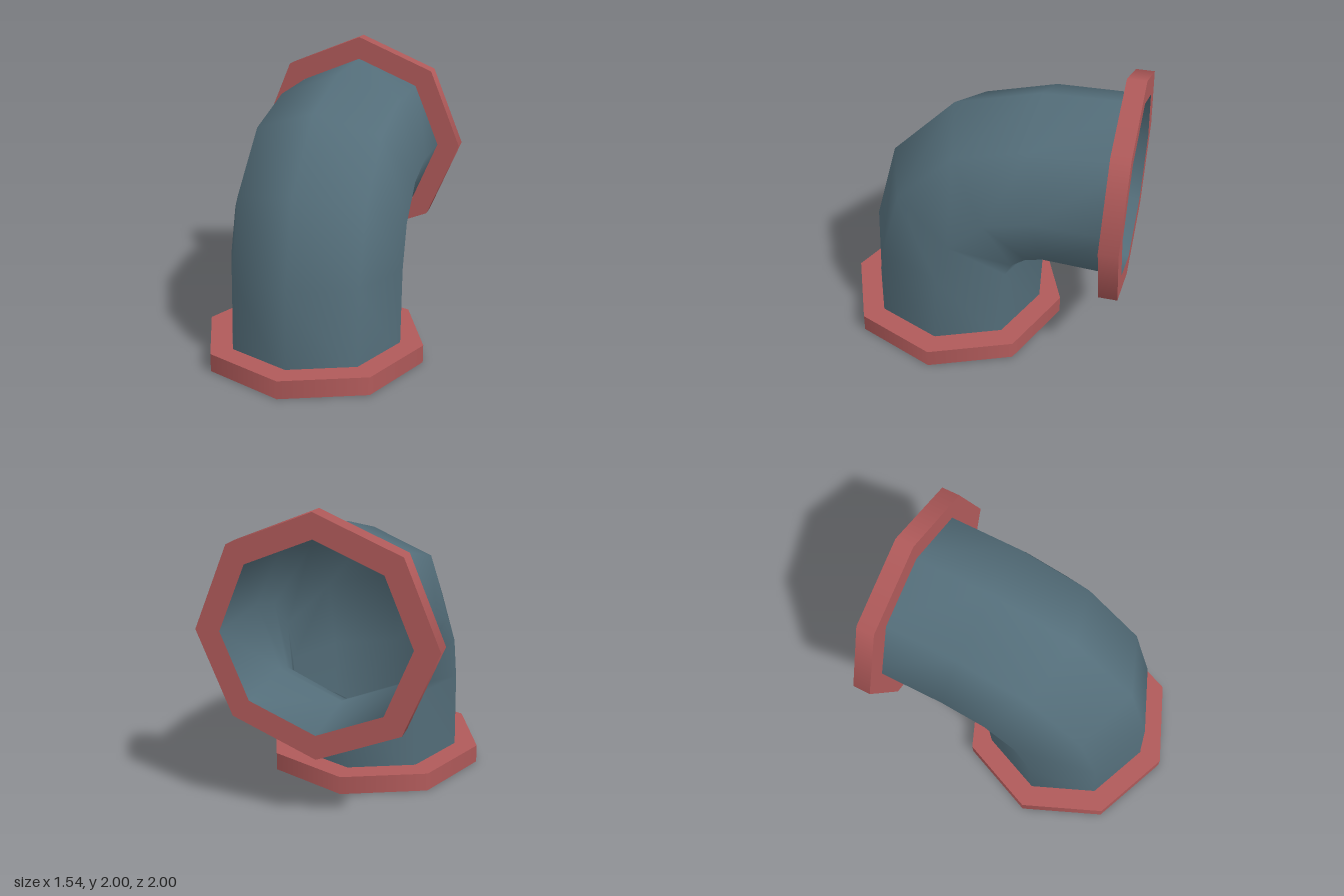
import * as THREE from 'three';
import { mergeGeometries } from 'three/addons/utils/BufferGeometryUtils.js';

const SIDES = 8;
const PIPE_R = 0.61;
const FLANGE_R = 0.77;
const FLANGE_H = 0.125;

// Octagonal tube through rings given by their outer and inner bend points [z, y]
function pipeGeometry(rings) {
  const positions = [];
  const index = [];
  for (const [[oz, oy], [iz, iy]] of rings) {
    const cz = (oz + iz) / 2;
    const cy = (oy + iy) / 2;
    for (let i = 0; i < SIDES; i++) {
      const a = (i / SIDES) * Math.PI * 2;
      const c = Math.cos(a);
      positions.push(PIPE_R * Math.sin(a), cy + (oy - cy) * c, cz + (oz - cz) * c);
    }
  }
  for (let j = 0; j < rings.length - 1; j++) {
    for (let i = 0; i < SIDES; i++) {
      const n = (i + 1) % SIDES;
      const a = j * SIDES + i;
      const b = j * SIDES + n;
      index.push(a, b, a + SIDES, b, b + SIDES, a + SIDES);
    }
  }
  const geometry = new THREE.BufferGeometry();
  geometry.setAttribute('position', new THREE.Float32BufferAttribute(positions, 3));
  geometry.setIndex(index);
  geometry.computeVertexNormals();
  return geometry;
}

// Flat octagonal collar standing on y = 0, open in the middle
function flangeGeometry() {
  const rim = new THREE.CylinderGeometry(FLANGE_R, FLANGE_R, FLANGE_H, SIDES, 1, true);
  rim.translate(0, FLANGE_H / 2, 0);
  const top = new THREE.RingGeometry(PIPE_R, FLANGE_R, SIDES);
  top.rotateX(-Math.PI / 2).translate(0, FLANGE_H, 0);
  const bottom = new THREE.RingGeometry(PIPE_R, FLANGE_R, SIDES);
  bottom.rotateX(Math.PI / 2);
  return mergeGeometries([rim, top, bottom]);
}

export function createModel() {
  const model = new THREE.Group();
  model.name = 'pipeElbow';

  const steel = new THREE.MeshStandardMaterial({ color: 0x546e7a, side: THREE.DoubleSide });
  steel.name = 'blueGreyPipe';
  const red = new THREE.MeshStandardMaterial({ color: 0xb05a5a });
  red.name = 'redFlange';

  // Bent pipe, open at both ends
  const pipe = new THREE.Mesh(pipeGeometry([
    [[0.84, 0], [-0.38, 0]],
    [[0.82, 0.65], [-0.405, 0.64]],
    [[0.665, 1.23], [-0.43, 0.645]],
    [[0.23, 1.665], [-0.465, 0.65]],
    [[-0.35, 1.82], [-0.5, 0.655]],
    [[-1, 1.84], [-1, 0.62]],
  ]), steel);
  pipe.name = 'pipe';
  model.add(pipe);

  // Collars at the two openings
  const flange = flangeGeometry();
  const bottomFlange = new THREE.Mesh(flange, red);
  bottomFlange.name = 'bottomFlange';
  bottomFlange.position.z = 0.23;
  const backFlange = new THREE.Mesh(flange, red);
  backFlange.name = 'backFlange';
  backFlange.rotation.x = Math.PI / 2;
  backFlange.position.set(0, 1.23, -1);
  model.add(bottomFlange, backFlange);

  return model;
}
